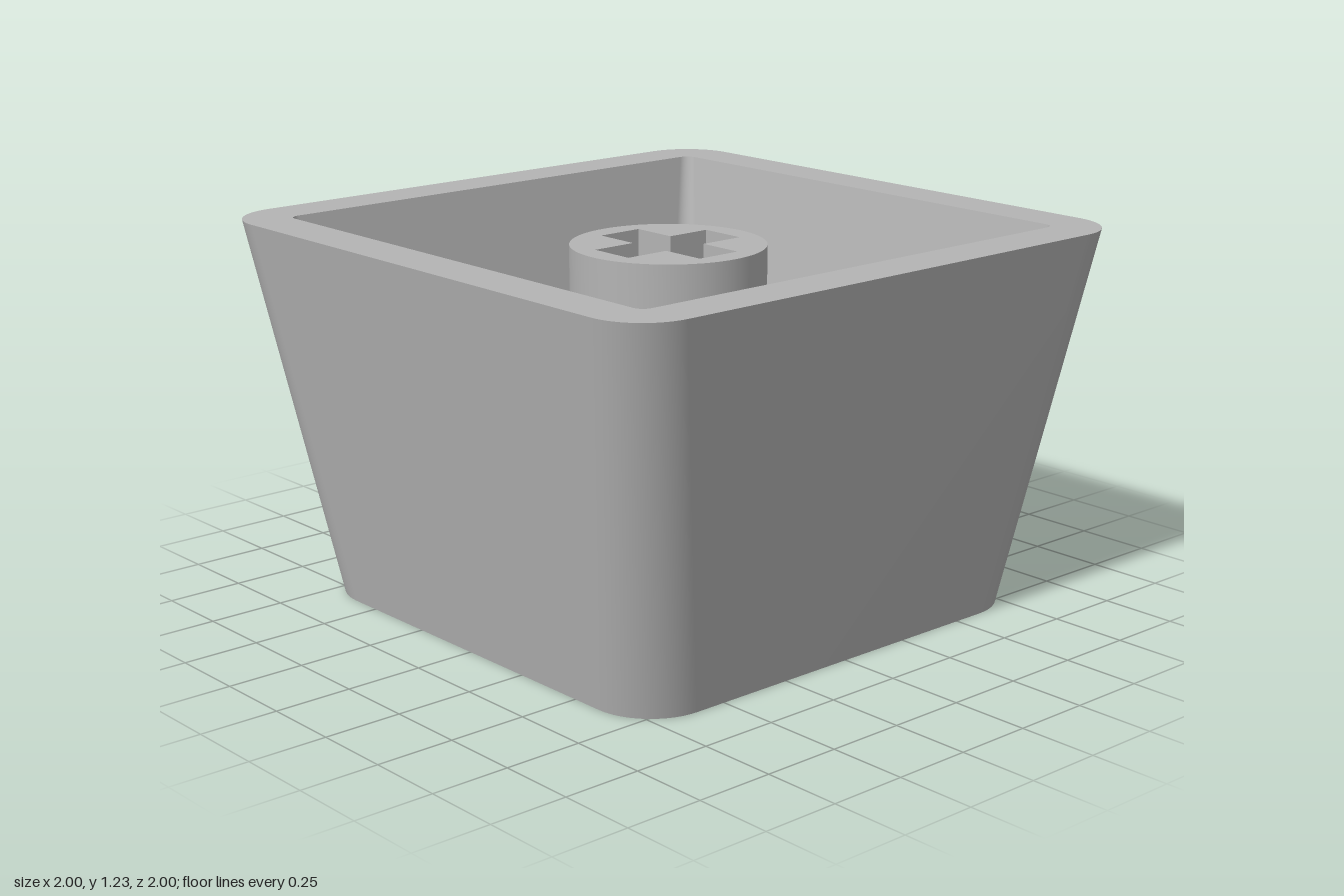
import * as THREE from 'three';
import { toCreasedNormals } from 'three/addons/utils/BufferGeometryUtils.js';

const HEIGHT = 1.225, FLOOR = 0.2, STEM_TOP = 1.155;

// Rounded square outline, counterclockwise
function outline(half, radius, segments = 12) {
  const points = [];
  for (let corner = 0; corner < 4; corner++) {
    const mid = Math.PI / 4 + corner * Math.PI / 2;
    const cx = Math.sign(Math.cos(mid)) * (half - radius);
    const cy = Math.sign(Math.sin(mid)) * (half - radius);
    for (let i = 0; i <= segments; i++) {
      const a = (corner + i / segments) * Math.PI / 2;
      points.push(new THREE.Vector2(cx + radius * Math.cos(a), cy + radius * Math.sin(a)));
    }
  }
  return points;
}

// Smooth band joining two outlines; faces outward when the first is the lower one
function loft(first, y1, second, y2) {
  const n = first.length, position = [], index = [];
  for (const p of first) position.push(p.x, y1, -p.y);
  for (const p of second) position.push(p.x, y2, -p.y);
  for (let i = 0; i < n; i++) {
    const j = (i + 1) % n;
    index.push(i, j, n + j, i, n + j, n + i);
  }
  const geometry = new THREE.BufferGeometry();
  geometry.setAttribute('position', new THREE.Float32BufferAttribute(position, 3));
  geometry.setIndex(index);
  geometry.computeVertexNormals();
  return geometry;
}

// Flat horizontal face
function plate(points, y, up = true, hole = null) {
  const shape = new THREE.Shape(points);
  if (hole) shape.holes.push(new THREE.Path(hole));
  return new THREE.ShapeGeometry(shape).rotateX(up ? -Math.PI / 2 : Math.PI / 2).translate(0, y, 0);
}

export function createModel() {
  const group = new THREE.Group();
  const grey = new THREE.MeshStandardMaterial({ color: 0xb4b4b4 });
  grey.name = 'grey plastic';
  const add = (name, geometry) => {
    const mesh = new THREE.Mesh(geometry, grey);
    mesh.name = name;
    group.add(mesh);
  };

  // Tapered hollow shell
  const outerBottom = outline(0.805, 0.2), outerTop = outline(1, 0.18);
  const innerBottom = outline(0.65, 0.08), innerTop = outline(0.845, 0.035);
  add('outerWall', loft(outerBottom, 0, outerTop, HEIGHT));
  add('innerWall', loft(innerTop, HEIGHT, innerBottom, FLOOR));
  add('rim', plate(outerTop, HEIGHT, true, innerTop));
  add('innerFloor', plate(innerBottom, FLOOR));
  add('base', plate(outerBottom, 0, false));

  // Round stem with a cross-shaped socket
  const stem = new THREE.Shape().absarc(0, 0, 0.31, 0, Math.PI * 2, false);
  const a = 0.078, b = 0.232, cross = [];
  for (let k = 0; k < 4; k++) {
    for (const [x, y] of [[b, -a], [b, a], [a, a]]) {
      cross.push(new THREE.Vector2(x, y).rotateAround(new THREE.Vector2(), k * Math.PI / 2));
    }
  }
  stem.holes.push(new THREE.Path(cross));
  const stemGeometry = new THREE.ExtrudeGeometry(stem, {
    depth: STEM_TOP - FLOOR, bevelEnabled: false, curveSegments: 32,
  });
  stemGeometry.rotateX(-Math.PI / 2).translate(0, FLOOR, 0);
  add('stem', toCreasedNormals(stemGeometry, Math.PI / 6));

  return group;
}
